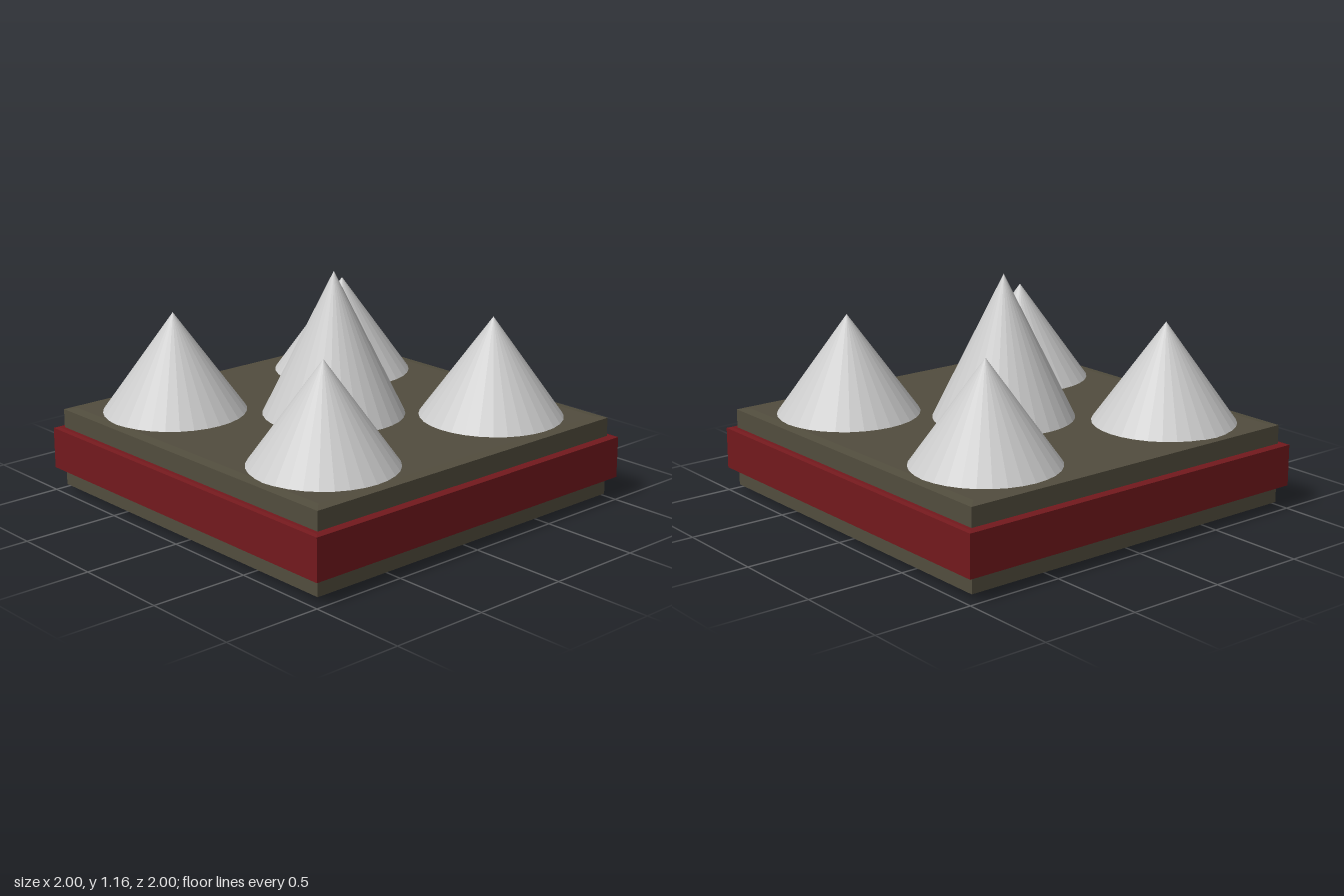
import * as THREE from 'three';

const material = (color) => new THREE.MeshStandardMaterial({ color, flatShading: true });

// Square block from a profile of [half width, y], bottom to top
function squareBlock(name, profile, mat) {
  const points = profile.map(([h, y]) => new THREE.Vector2(h * Math.SQRT2, y));
  const mesh = new THREE.Mesh(new THREE.LatheGeometry(points, 4, Math.PI / 4), mat);
  mesh.name = name;
  return mesh;
}

export function createModel() {
  const model = new THREE.Group();
  model.name = 'spikedPlate';
  const olive = material(0x524d3e);
  const red = material(0x73191d);
  const grey = material(0xcccccc);

  // Plate with a chamfered underside and slightly raised top
  model.add(squareBlock('plate', [
    [0, 0], [0.84, 0], [0.96, 0.03], [0.96, 0.43], [0.91, 0.437], [0, 0.437],
  ], olive));

  // Band around the plate
  model.add(squareBlock('band', [
    [0.95, 0.115], [0.98, 0.115], [1, 0.12], [1, 0.33], [0.98, 0.335], [0.95, 0.335],
  ], red));

  // Spikes: name, x, z, radius, tip height
  const spikes = [
    ['centreSpike', 0, 0, 0.36, 1.16],
    ['frontLeftSpike', 0.555, 0.55, 0.365, 0.94],
    ['frontRightSpike', -0.56, 0.55, 0.365, 0.94],
    ['backLeftSpike', 0.555, -0.55, 0.365, 0.94],
    ['backRightSpike', -0.56, -0.565, 0.365, 0.94],
  ];
  const foot = 0.43;
  for (const [name, x, z, radius, tip] of spikes) {
    const spike = new THREE.Mesh(new THREE.ConeGeometry(radius, tip - foot, 32), grey);
    spike.name = name;
    spike.position.set(x, (tip + foot) / 2, z);
    model.add(spike);
  }
  return model;
}
